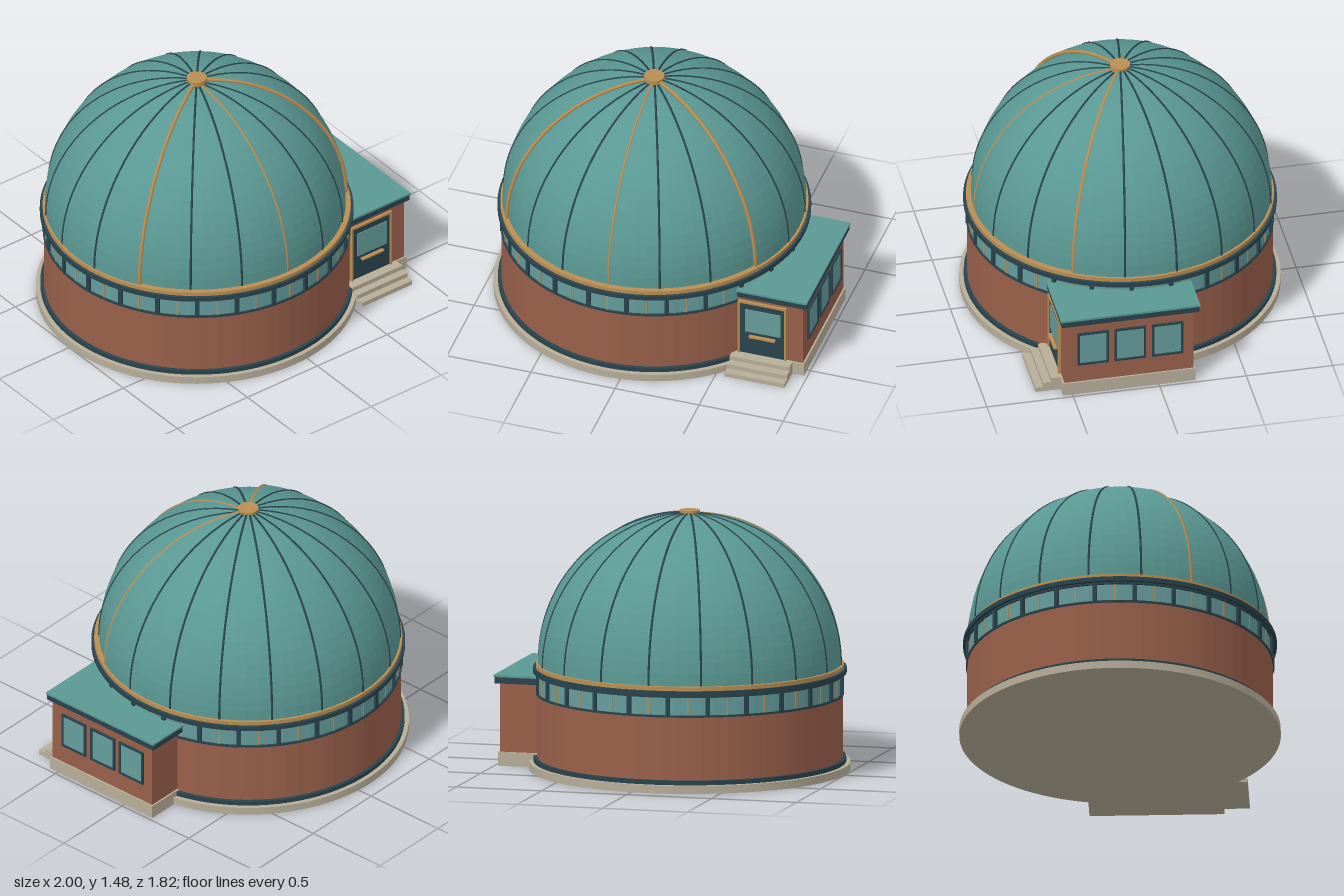
import * as THREE from 'three';

const mat = (name, color) => {
  const m = new THREE.MeshStandardMaterial({ color });
  m.name = name;
  return m;
};

export function createModel() {
  const copper = mat('copper green', 0x5a9893);
  const glass = mat('window glass', 0x649c9b);
  const dark = mat('dark slate trim', 0x29434d);
  const brick = mat('brick', 0x99604a);
  const brass = mat('brass', 0xb98e52);
  const stone = mat('stone', 0xb7ad98);

  const model = new THREE.Group();
  model.name = 'observatory';
  const tower = new THREE.Group();
  tower.name = 'roundTower';
  tower.position.x = -0.09;
  const annex = new THREE.Group();
  annex.name = 'entranceAnnex';
  model.add(tower, annex);

  const add = (parent, name, geometry, material) => {
    const m = new THREE.Mesh(geometry, material);
    m.name = name;
    parent.add(m);
    return m;
  };
  // faceted look
  const facet = (g) => {
    const f = g.toNonIndexed();
    f.computeVertexNormals();
    return f;
  };
  // drum between two heights
  const drum = (name, r, y0, y1, material, sides = 96) => {
    const g = new THREE.CylinderGeometry(r, r, y1 - y0, sides);
    const m = add(tower, name, sides < 96 ? facet(g) : g, material);
    m.position.y = (y0 + y1) / 2;
    return m;
  };
  // box given by its limits
  const box = (parent, name, x0, x1, y0, y1, z0, z1, material) => {
    const m = add(parent, name, new THREE.BoxGeometry(x1 - x0, y1 - y0, z1 - z0), material);
    m.position.set((x0 + x1) / 2, (y0 + y1) / 2, (z0 + z1) / 2);
    return m;
  };

  // round walls, bands and rings
  drum('foundation', 0.91, 0, 0.045, stone);
  drum('baseBand', 0.885, 0.045, 0.07, dark);
  drum('brickWall', 0.865, 0.07, 0.432, brick, 72);
  drum('windowSill', 0.872, 0.43, 0.442, dark);
  drum('windowGlass', 0.862, 0.442, 0.545, glass, 72);
  drum('windowHead', 0.872, 0.543, 0.556, dark);
  drum('corniceRing', 0.888, 0.555, 0.582, dark);
  drum('brassRing', 0.872, 0.582, 0.605, brass);

  // mullions: dark between windows, thin brass at window centres
  for (let i = 0; i < 48; i++) {
    const wide = i % 2 === 1;
    const pivot = new THREE.Group();
    pivot.name = wide ? 'mullion' : 'glazingBar';
    pivot.rotation.y = (i * Math.PI) / 24;
    const w = wide ? 0.012 : 0.004;
    box(pivot, pivot.name + 'Bar', -w, w, 0.44, 0.546, 0.85, wide ? 0.876 : 0.866, wide ? dark : brass);
    tower.add(pivot);
  }

  // dome: main shell and slightly recessed front shutter
  const R = 0.86, RF = 0.844, Y = 0.607;
  const shell = (name, r, start, length, segs) => {
    const g = new THREE.SphereGeometry(r, segs, 20, start, length, 0, Math.PI / 2);
    add(tower, name, facet(g), copper).position.y = Y;
  };
  shell('domeShell', R, (5 * Math.PI) / 6, (4 * Math.PI) / 3, 48);
  shell('domeShutter', RF, Math.PI / 6, (2 * Math.PI) / 3, 24);

  // dome ribs every 20 degrees, three of them brass
  for (let i = 0; i < 18; i++) {
    const gold = i === 0 || i === 3 || i === 15;
    const edge = i === 3 || i === 15;
    const front = i < 3 || i > 15;
    const r = edge ? 0.853 : front ? RF - 0.002 : R - 0.002;
    const g = new THREE.TorusGeometry(r, edge ? 0.011 : 0.007, 6, 40, Math.PI / 2);
    const rib = add(tower, gold ? 'brassRib' : 'domeRib', g, gold ? brass : dark);
    rib.position.y = Y;
    rib.rotation.y = (i * Math.PI) / 9 - Math.PI / 2;
  }
  drum('domeCap', 0.058, 1.455, 1.482, brass, 24);

  // annex body and roof
  box(annex, 'annexFoundation', 0.57, 0.98, 0, 0.08, -0.21, 0.555, stone);
  box(annex, 'annexWalls', 0.585, 0.97, 0.08, 0.48, -0.2, 0.545, brick);
  box(annex, 'roofFascia', 0.585, 0.995, 0.475, 0.511, -0.23, 0.565, dark);
  box(annex, 'roofPlate', 0.58, 1, 0.511, 0.523, -0.235, 0.57, copper);

  // door with brass surround
  box(annex, 'doorLeaf', 0.595, 0.865, 0.08, 0.435, 0.54, 0.552, dark);
  box(annex, 'doorGlass', 0.63, 0.84, 0.235, 0.39, 0.55, 0.557, glass);
  box(annex, 'doorBar', 0.655, 0.81, 0.205, 0.214, 0.55, 0.575, brass);
  box(annex, 'doorHead', 0.587, 0.874, 0.433, 0.446, 0.54, 0.562, brass);
  for (const x of [0.587, 0.863])
    box(annex, 'doorJamb', x, x + 0.011, 0.08, 0.435, 0.54, 0.562, brass);

  // entrance steps
  [0.7, 0.655, 0.61].forEach((z, i) =>
    box(annex, 'step', 0.555, 0.91, i * 0.027, (i + 1) * 0.027, 0.54, z, stone));

  // side windows
  for (const z of [0.38, 0.165, -0.05]) {
    box(annex, 'sideWindowGlass', 0.965, 0.975, 0.205, 0.4, z - 0.08, z + 0.08, glass);
    for (const y of [0.195, 0.398])
      box(annex, 'sideWindowRail', 0.96, 0.982, y, y + 0.012, z - 0.09, z + 0.09, dark);
    for (const s of [-1, 1])
      box(annex, 'sideWindowStile', 0.96, 0.982, 0.205, 0.4, z + s * 0.084 - 0.006, z + s * 0.084 + 0.006, dark);
  }
  return model;
}
